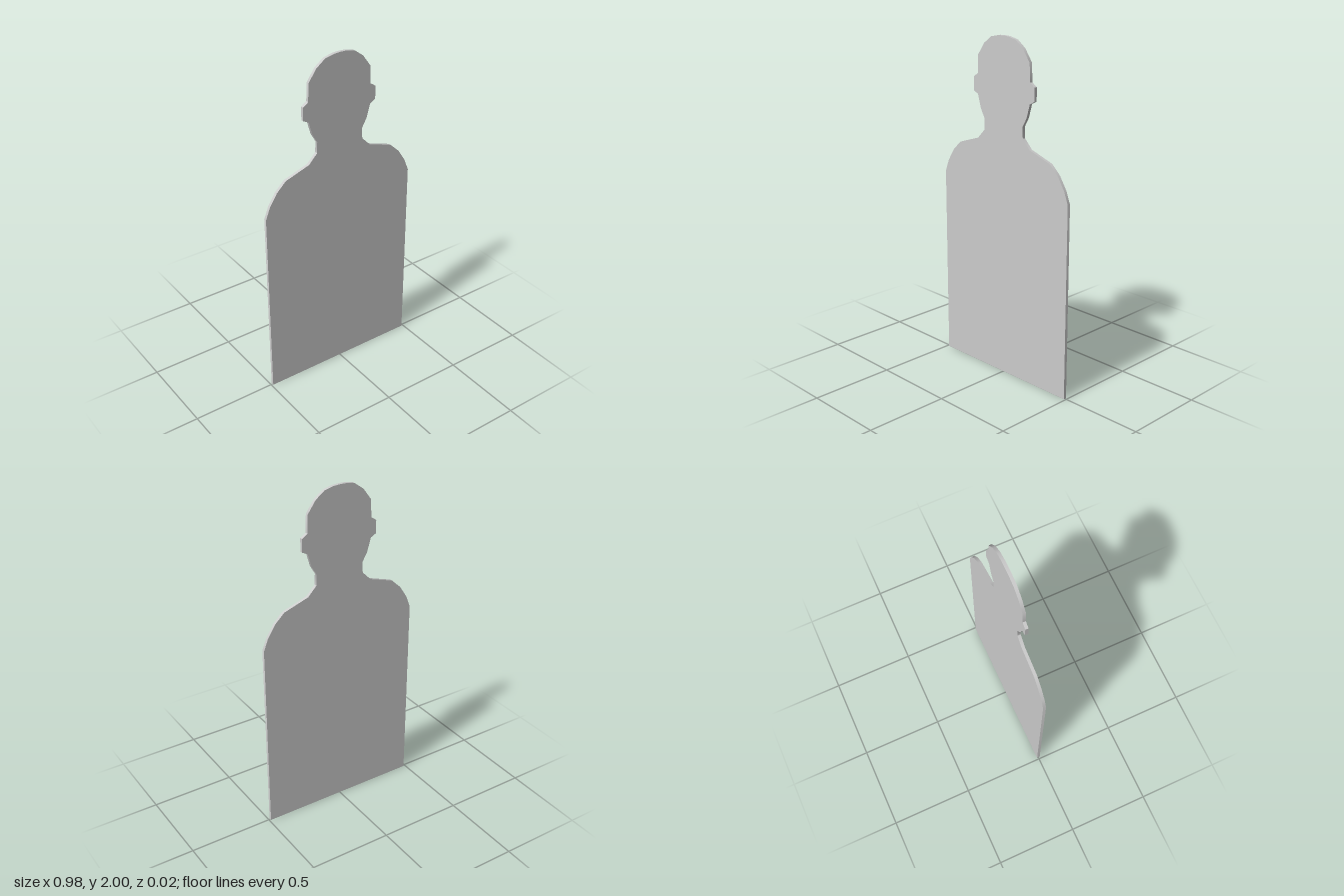
import * as THREE from 'three';
import { toCreasedNormals } from 'three/addons/utils/BufferGeometryUtils.js';

const THICKNESS = 0.018;

// Half outline, from the bottom corner up to the crown
const HALF_OUTLINE = [
  [0.49, 0], [0.49, 1.15],                                          // straight side
  [0.463, 1.22], [0.415, 1.295], [0.357, 1.35], [0.205, 1.4],       // shoulder
  [0.152, 1.455], [0.15, 1.52],                                     // neck
  [0.18, 1.573], [0.203, 1.652],                                    // jaw
  [0.237, 1.67], [0.237, 1.748], [0.204, 1.77],                     // ear
  [0.2, 1.875], [0.15, 1.945], [0.095, 1.986], [0.04, 1.998], [0, 2], // skull
];

export function createModel() {
  const group = new THREE.Group();
  group.name = 'silhouetteTarget';

  // Mirror the half outline into a closed counter-clockwise shape
  const right = HALF_OUTLINE.map(([x, y]) => new THREE.Vector2(x, y));
  const left = HALF_OUTLINE.slice(0, -1).reverse().map(([x, y]) => new THREE.Vector2(-x, y));
  const shape = new THREE.Shape([...right, ...left]);

  // Thin flat board, centred on z, with smooth curves along its rim
  const geometry = new THREE.ExtrudeGeometry(shape, { depth: THICKNESS, bevelEnabled: false });
  geometry.translate(0, 0, -THICKNESS / 2);

  const board = new THREE.Mesh(
    toCreasedNormals(geometry, THREE.MathUtils.degToRad(40)),
    new THREE.MeshStandardMaterial({ color: 0xcccccc }),
  );
  board.name = 'silhouetteBoard';
  group.add(board);
  return group;
}
